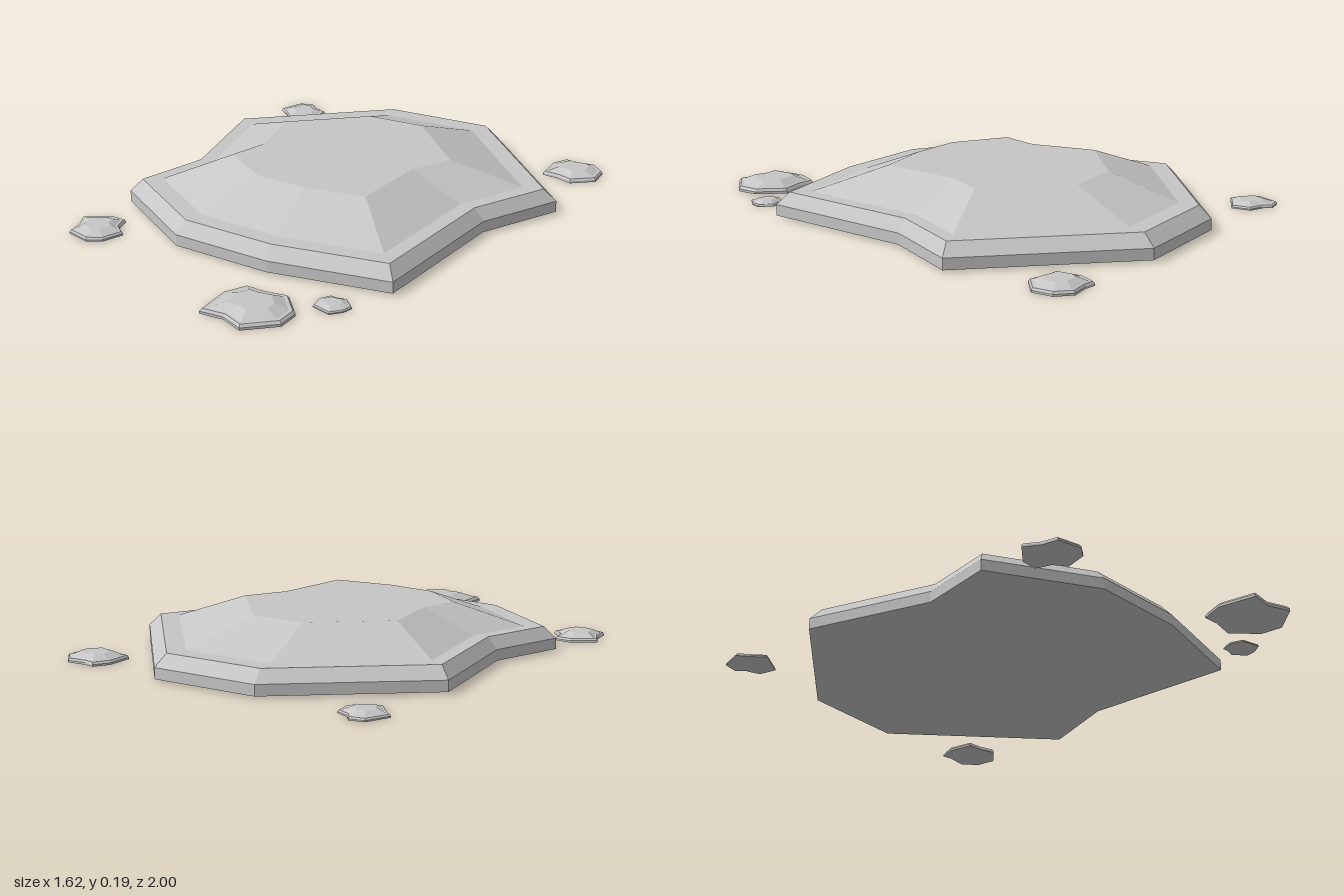
import * as THREE from 'three';

const stone = new THREE.MeshStandardMaterial({ color: 0xc6c6c6, flatShading: true });
stone.name = 'light grey stone';

// Cross-section shared by slab and chips: [scale about the centre, height fraction]
const LAYERS = [[1, 0], [1, 0.235], [0.94, 0.49], [0.845, 0.49], [0.51, 1]];

// Chiselled slab: outline ([x, z], clockwise from above) shrunk layer by layer
function slab(name, outline, [cx, cz], bottom, top) {
  const pos = [];
  const n = outline.length;
  const rings = LAYERS.map(([s, h]) => outline.map(([x, z]) =>
    [cx + (x - cx) * s, bottom + (top - bottom) * h, cz + (z - cz) * s]));
  const tri = (a, b, c) => pos.push(...a, ...b, ...c);
  const last = rings[rings.length - 1];
  for (let i = 0; i < n; i++) {
    const j = (i + 1) % n;
    for (let k = 0; k < rings.length - 1; k++) {
      const lo = rings[k], hi = rings[k + 1];
      tri(lo[j], lo[i], hi[i]);
      tri(lo[j], hi[i], hi[j]);
    }
    tri([cx, top, cz], last[j], last[i]);
    tri([cx, bottom, cz], rings[0][i], rings[0][j]);
  }
  const geo = new THREE.BufferGeometry();
  geo.setAttribute('position', new THREE.Float32BufferAttribute(pos, 3));
  geo.computeVertexNormals();
  const mesh = new THREE.Mesh(geo, stone);
  mesh.name = name;
  return mesh;
}

// Main slab outline
const MAIN = [[0.11, -0.9], [0.748, -0.525], [0.682, -0.18], [0.808, 0.432], [0.38, 0.63],
  [-0.015, 0.716], [-0.457, 0.577], [-0.457, 0.265], [-0.697, -0.19], [-0.32, -0.76]];

// Loose chips around the slab
const CHIPS = [
  { name: 'backLeftChip', centre: [0.545, -0.89], height: 0.033, outline: [[0.565, -1], [0.63, -0.965],
    [0.657, -0.885], [0.597, -0.8], [0.53, -0.805], [0.465, -0.793], [0.43, -0.895], [0.445, -0.965], [0.49, -0.97]] },
  { name: 'backRightChip', centre: [-0.715, -0.58], height: 0.024, outline: [[-0.745, -0.678], [-0.71, -0.655],
    [-0.65, -0.65], [-0.618, -0.58], [-0.705, -0.49], [-0.765, -0.525], [-0.81, -0.545], [-0.8, -0.65]] },
  { name: 'frontRightChip', centre: [-0.34, 0.825], height: 0.03, outline: [[-0.32, 0.71], [-0.29, 0.765],
    [-0.235, 0.79], [-0.243, 0.88], [-0.285, 0.922], [-0.385, 0.922], [-0.41, 0.86], [-0.455, 0.81], [-0.385, 0.725]] },
  { name: 'frontLeftChip', centre: [0.56, 0.855], height: 0.04, outline: [[0.585, 0.71], [0.69, 0.78],
    [0.713, 0.865], [0.637, 0.985], [0.54, 0.97], [0.45, 1], [0.403, 0.855], [0.425, 0.76], [0.49, 0.75]] },
  { name: 'smallChip', centre: [0.72, 0.635], height: 0.019, outline: [[0.73, 0.575], [0.783, 0.605],
    [0.783, 0.645], [0.76, 0.692], [0.68, 0.69], [0.657, 0.64], [0.67, 0.595], [0.695, 0.592]] },
];

export function createModel() {
  const group = new THREE.Group();
  group.name = 'stoneSlabWithChips';
  group.add(slab('mainSlab', MAIN, [0.07, -0.035], 0.008, 0.192));
  for (const c of CHIPS) group.add(slab(c.name, c.outline, c.centre, 0, c.height));
  return group;
}
